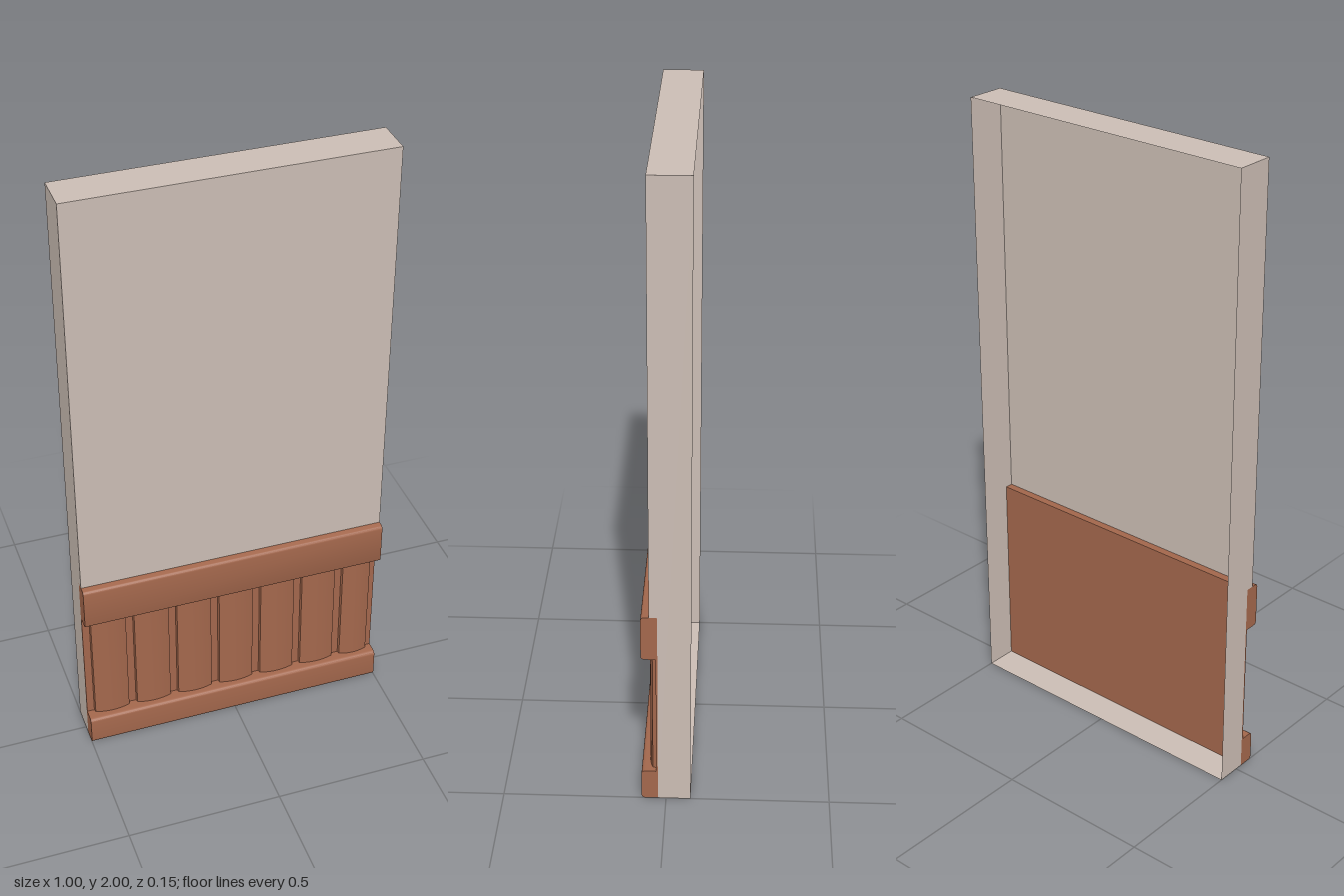
import * as THREE from 'three';
import { toCreasedNormals } from 'three/addons/utils/BufferGeometryUtils.js';

const W = 1, H = 2, BACK = -0.075, FACE = 0.05, RECESS = 0.025, TRIM = 0.65;

export function createModel() {
  const group = new THREE.Group();
  const plaster = new THREE.MeshStandardMaterial({ color: 0xcbbdb4, side: THREE.DoubleSide });
  plaster.name = 'plaster';
  const wood = new THREE.MeshStandardMaterial({ color: 0xa3674c });
  wood.name = 'wood';

  const add = (name, geometry, material) => {
    const mesh = new THREE.Mesh(geometry, material);
    mesh.name = name;
    group.add(mesh);
    return mesh;
  };
  const shapeOf = (points) => new THREE.Shape(points.map(([a, b]) => new THREE.Vector2(a, b)));

  // Wall shell, open at the back: face, two stepped ends, top, floor
  add('wallFace', new THREE.PlaneGeometry(W, H - TRIM), plaster).position.set(0, (H + TRIM) / 2, FACE);
  const endProfile = [[BACK, 0], [RECESS, 0], [RECESS, TRIM], [FACE, TRIM], [FACE, H], [BACK, H]];
  for (const side of [-1, 1]) {
    const end = new THREE.ShapeGeometry(shapeOf(endProfile.map(([z, y]) => [-z, y])));
    end.rotateY(Math.PI / 2);
    // the mirrored end faces outwards too
    if (side < 0) end.scale(1, 1, -1).rotateY(Math.PI);
    add(side > 0 ? 'leftEnd' : 'rightEnd', end, plaster).position.x = side * W / 2;
  }
  const slab = (name, y, front, turn) => {
    const g = new THREE.PlaneGeometry(W, front - BACK).rotateX(turn);
    add(name, g, plaster).position.set(0, y, (front + BACK) / 2);
  };
  slab('wallTop', H, FACE, -Math.PI / 2);
  slab('wallFloor', 0, RECESS, Math.PI / 2);

  // Rails with softened front edges, run along x
  const rail = (name, y0, y1) => {
    const z = 0.075, r = 0.012;
    const s = new THREE.Shape();
    s.moveTo(-RECESS, y0);
    s.lineTo(-RECESS, y1);
    s.lineTo(-z + r, y1);
    s.quadraticCurveTo(-z, y1, -z, y1 - r);
    s.lineTo(-z, y0 + r);
    s.quadraticCurveTo(-z, y0, -z + r, y0);
    s.closePath();
    const g = new THREE.ExtrudeGeometry(s, { depth: W, bevelEnabled: false, curveSegments: 4 });
    g.rotateY(Math.PI / 2).translate(-W / 2, 0, 0);
    add(name, toCreasedNormals(g, 0.6), wood);
  };
  rail('topRail', 0.505, TRIM);
  rail('bottomRail', 0, 0.1);

  // Wainscot: seven gently bowed boards with a groove between each
  const boards = 7, pitch = W / boards, groove = 0.024, low = 0.03, edge = 0.041;
  const s = new THREE.Shape();
  s.moveTo(W / 2, -RECESS);
  s.lineTo(-W / 2, -RECESS);
  s.lineTo(-W / 2, -low);
  for (let i = 0; i < boards; i++) {
    const x0 = -W / 2 + i * pitch + groove;
    const x1 = i === boards - 1 ? W / 2 - 0.019 : x0 + pitch - groove;
    s.lineTo(x0, -low);
    s.lineTo(x0 + 0.002, -edge);
    // control point sits so that the crown reaches the wall face
    s.quadraticCurveTo((x0 + x1) / 2, -(2 * FACE - edge), x1 - 0.002, -edge);
    s.lineTo(x1, -low);
  }
  s.lineTo(W / 2, -low);
  s.closePath();
  const panel = new THREE.ExtrudeGeometry(s, { depth: 0.405, bevelEnabled: false, curveSegments: 8 });
  panel.rotateX(-Math.PI / 2).translate(0, 0.1, 0);
  add('wainscotBoards', toCreasedNormals(panel, 0.6), wood);

  return group;
}
